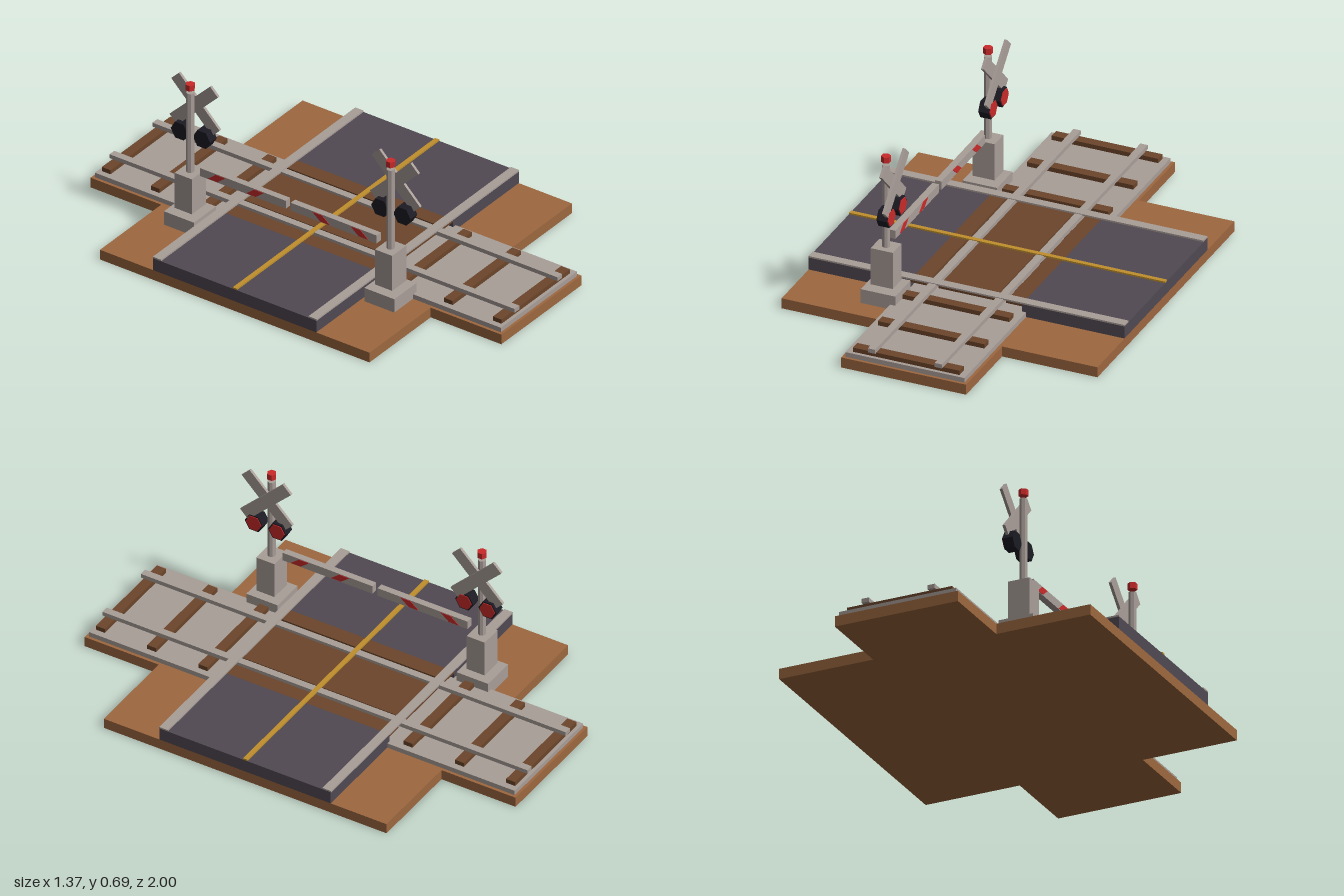
import * as THREE from 'three';

const mat = (name, color) => {
  const m = new THREE.MeshStandardMaterial({ color });
  m.name = name;
  return m;
};

export function createModel() {
  const earth = mat('earth brown', 0x9d673f);
  const wood = mat('dark wood', 0x6b452a);
  const grey = mat('light grey', 0xa99e98);
  const asphalt = mat('asphalt', 0x504952);
  const yellow = mat('yellow paint', 0xc08f2c);
  const red = mat('signal red', 0xcb2a2a);
  const black = mat('lamp black', 0x1c1b24);

  const root = new THREE.Group();
  root.name = 'levelCrossing';

  const add = (parent, name, geometry, material) => {
    const m = new THREE.Mesh(geometry, material);
    m.name = name;
    parent.add(m);
    return m;
  };
  // Box given by its limits on each axis
  const box = (parent, name, material, x0, x1, y0, y1, z0, z1) => {
    const m = add(parent, name, new THREE.BoxGeometry(x1 - x0, y1 - y0, z1 - z0), material);
    m.position.set((x0 + x1) / 2, (y0 + y1) / 2, (z0 + z1) / 2);
    return m;
  };
  // Faceted cylinder
  const prism = (r, h, sides) => {
    const g = new THREE.CylinderGeometry(r, r, h, sides).toNonIndexed();
    g.computeVertexNormals();
    return g;
  };
  const polygon = pts => new THREE.Shape(pts.map(p => new THREE.Vector2(...p)));

  // Cross-shaped ground slab
  const W = 0.685, N = 0.271, D = 0.656;
  const ground = new THREE.ExtrudeGeometry(polygon([
    [-N, -1], [N, -1], [N, -D], [W, -D], [W, D], [N, D],
    [N, 1], [-N, 1], [-N, D], [-W, D], [-W, -D], [-N, -D],
  ]), { depth: 0.045, bevelEnabled: false });
  ground.rotateX(-Math.PI / 2);
  add(root, 'ground', ground, earth);

  // Track: ballast, sleepers, rails
  const track = new THREE.Group();
  track.name = 'track';
  root.add(track);
  box(track, 'ballast', grey, -0.258, 0.258, 0.045, 0.066, -0.988, 0.988);
  for (let i = -4; i <= 4; i++) {
    const z = i * 0.238;
    box(track, 'sleeper', wood, -0.232, 0.23, 0.066, 0.085, z - 0.021, z + 0.021);
  }
  for (const x of [-0.146, 0.144])
    box(track, 'rail', grey, x - 0.016, x + 0.016, 0.086, 0.104, -0.986, 0.986);

  // Road: asphalt either side, wooden panels between the rails, painted lines
  const road = new THREE.Group();
  road.name = 'road';
  root.add(road);
  box(road, 'roadRight', asphalt, -W, -0.243, 0.045, 0.1, -0.397, 0.397);
  box(road, 'roadLeft', asphalt, 0.24, W, 0.045, 0.1, -0.397, 0.397);
  for (const [x0, x1] of [[-0.243, -0.174], [-0.121, 0.12], [0.172, 0.24]])
    box(road, 'crossingPanel', wood, x0, x1, 0.089, 0.1, -0.397, 0.397);
  for (const s of [-1, 1])
    box(road, 'edgeLine', grey, -W, W, 0.1, 0.107, s * 0.379 - 0.02, s * 0.379 + 0.02);
  box(road, 'centreLine', yellow, -W, W, 0.1, 0.107, -0.01, 0.01);

  // Signals, one at each side of the road; s is the side along z
  for (const s of [-1, 1]) {
    const signal = new THREE.Group();
    signal.name = s > 0 ? 'frontSignal' : 'backSignal';
    root.add(signal);
    const Z = s * 0.488, X = -0.308;

    box(signal, 'footing', grey, -0.385, -0.235, 0.045, 0.107, Z - 0.073, Z + 0.073);
    box(signal, 'cabinet', grey, -0.356, -0.26, 0.12, 0.283, Z - 0.042, Z + 0.042);
    add(signal, 'post', prism(0.017, 0.367, 8), grey).position.set(X, 0.4665, Z);
    add(signal, 'topLamp', prism(0.02, 0.026, 6), red).position.set(X, 0.677, Z);

    // Crossed boards
    for (const k of [-1, 1]) {
      const board = add(signal, 'crossBoard', new THREE.BoxGeometry(0.012, 0.053, 0.28), grey);
      board.position.set(-0.273 + k * 0.006, 0.575, Z);
      board.rotation.x = k * Math.PI / 4;
    }

    // Twin hexagonal warning lamps
    for (const k of [-1, 1]) {
      const z = Z + k * 0.054;
      const housing = add(signal, 'lampHousing', prism(0.042, 0.046, 6), black);
      housing.position.set(-0.284, 0.448, z);
      const lens = add(signal, 'lampLens', prism(0.036, 0.004, 6), red);
      lens.position.set(-0.26, 0.448, z);
      housing.rotation.z = lens.rotation.z = -Math.PI / 2;
    }

    // Barrier arm with slanted red stripes on both faces
    const a = s * 0.012, b = s * 0.43;
    box(signal, 'barrierArm', grey, -0.323, -0.294, 0.288, 0.325, Math.min(a, b), Math.max(a, b));
    for (const z of [0.39, 0.203]) {
      // Shape x runs along -z once turned to face +x
      const g = new THREE.ExtrudeGeometry(polygon([
        [-s * z, 0.291], [-s * (z - 0.046), 0.291],
        [-s * (z - 0.084), 0.322], [-s * (z - 0.038), 0.322],
      ]), { depth: 0.003, bevelEnabled: false });
      g.rotateY(Math.PI / 2);
      for (const x of [-0.295, -0.325])
        add(signal, 'barrierStripe', g, red).position.x = x;
    }
  }
  return root;
}
